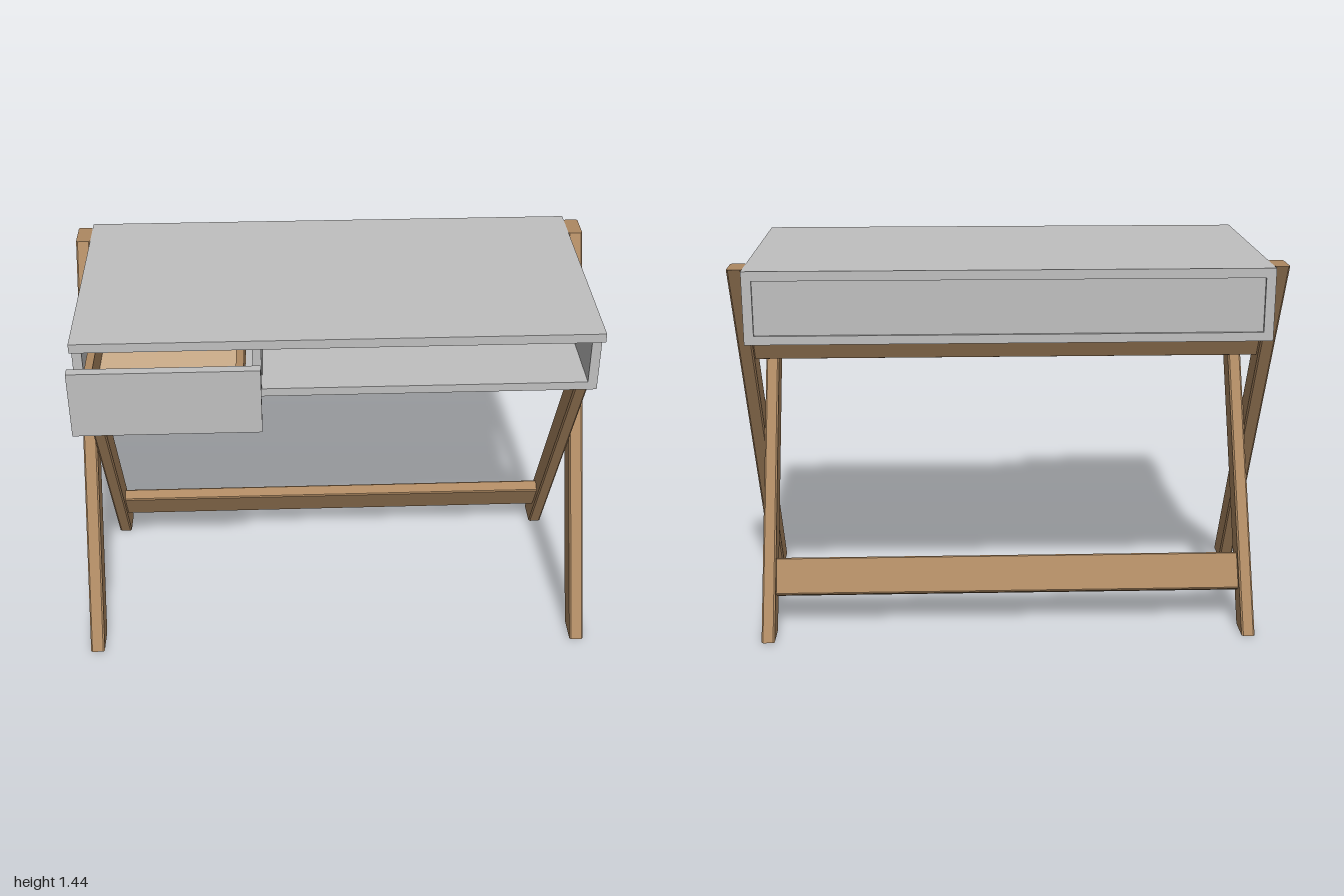
import * as THREE from 'three';

const greyPaint = new THREE.MeshStandardMaterial({ name: 'greyPaint', color: 0xc0c0c0 });
const wood = new THREE.MeshStandardMaterial({ name: 'wood', color: 0xae8962 });
const paleWood = new THREE.MeshStandardMaterial({ name: 'paleWood', color: 0xcfb08c });
const screwDark = new THREE.MeshStandardMaterial({ name: 'screwDark', color: 0x55504a });

const LEAN = 0.549; // z shift per unit of height
const ANGLE = Math.atan(LEAN);

// Box given by its minimum and maximum corners
function box(name, material, [x0, y0, z0], [x1, y1, z1]) {
  const mesh = new THREE.Mesh(new THREE.BoxGeometry(x1 - x0, y1 - y0, z1 - z0), material);
  mesh.position.set((x0 + x1) / 2, (y0 + y1) / 2, (z0 + z1) / 2);
  mesh.name = name;
  return mesh;
}

// Rectangle with chamfered corners, centred on the origin
function chamferedShape(w, h, c) {
  const a = w / 2, b = h / 2;
  return new THREE.Shape([
    [-a + c, -b], [a - c, -b], [a, -b + c], [a, b - c],
    [a - c, b], [-a + c, b], [-a, b - c], [-a, -b + c],
  ].map(([x, y]) => new THREE.Vector2(x, y)));
}

// Leg with level ends, sheared along z as it rises
function leg(name, x, width, z, height, slope) {
  const geo = new THREE.ExtrudeGeometry(chamferedShape(width, 0.12, 0.006), { depth: height, bevelEnabled: false });
  geo.rotateX(-Math.PI / 2);
  geo.applyMatrix4(new THREE.Matrix4().set(1, 0, 0, 0, 0, 1, 0, 0, 0, slope, 1, 0, 0, 0, 0, 1));
  geo.computeVertexNormals();
  const mesh = new THREE.Mesh(geo, wood);
  mesh.position.set(x, 0, z);
  mesh.name = name;
  return mesh;
}

// Crossbar running along x, tilted to match a leg
function bar(name, halfLength, y, z, tilt) {
  const geo = new THREE.ExtrudeGeometry(chamferedShape(0.05, 0.143, 0.005), { depth: halfLength * 2, bevelEnabled: false });
  geo.translate(0, 0, -halfLength);
  geo.rotateY(Math.PI / 2);
  const mesh = new THREE.Mesh(geo, wood);
  mesh.rotation.x = tilt;
  mesh.position.set(0, y, z);
  mesh.name = name;
  return mesh;
}

function createCase() {
  const g = new THREE.Group();
  g.name = 'deskCase';
  g.add(
    box('deskTop', greyPaint, [-0.945, 1.405, -0.533], [0.945, 1.44, 0.41]),
    box('caseBottom', greyPaint, [-0.945, 1.175, -0.533], [0.945, 1.207, 0.355]),
    box('divider', greyPaint, [-0.307, 1.207, -0.508], [-0.275, 1.405, 0.355]),
    box('backPanel', greyPaint, [-0.91, 1.207, -0.522], [0.91, 1.405, -0.508]),
  );
  for (const s of [-1, 1]) {
    const x = s * 0.9275;
    g.add(box(s > 0 ? 'leftSide' : 'rightSide', greyPaint,
      [x - 0.0175, 1.207, -0.533], [x + 0.0175, 1.405, 0.355]));
  }
  return g;
}

// Drawer, pulled partly open
function createDrawer() {
  const g = new THREE.Group();
  g.name = 'drawer';
  const x0 = -0.89, x1 = -0.335, y0 = 1.232, y1 = 1.367, z0 = -0.32, z1 = 0.5, t = 0.028;
  g.add(
    box('drawerFront', greyPaint, [-0.945, 1.14, z1], [-0.275, 1.395, 0.535]),
    box('drawerSideRight', wood, [x0, y0, z0], [x0 + t, y1, z1]),
    box('drawerSideLeft', wood, [x1 - t, y0, z0], [x1, y1, z1]),
    box('drawerInnerFront', wood, [x0 + t, y0, z1 - 0.035], [x1 - t, y1, z1]),
    box('drawerBack', wood, [x0 + t, y0, z0], [x1 - t, y1, z0 + t]),
    box('drawerFloor', paleWood, [x0 + t, y0 + 0.015, z0 + t], [x1 - t, y0 + 0.028, z1 - 0.035]),
  );
  return g;
}

export function createModel() {
  const model = new THREE.Group();
  model.name = 'desk';
  model.add(createCase(), createDrawer());

  // Crossed legs on each side, with screw heads
  for (const s of [-1, 1]) {
    const side = s > 0 ? 'left' : 'right';
    model.add(
      leg(side + 'OuterLeg', s * 0.9725, 0.055, 0.35, 1.44, -LEAN),
      leg(side + 'InnerLeg', s * 0.92, 0.05, -0.44, 1.175, LEAN),
    );
    for (const [y, z] of [[1.36, -0.39], [1.26, -0.337]]) {
      const screw = new THREE.Mesh(new THREE.CylinderGeometry(0.005, 0.005, 0.002, 12), screwDark);
      screw.rotation.z = Math.PI / 2;
      screw.position.set(s * 1.0, y, z);
      screw.name = side + 'Screw';
      model.add(screw);
    }
  }

  // Crossbars
  model.add(
    bar('upperCrossbar', 0.945, 1.125, 0.35 - LEAN * 1.125, -ANGLE),
    bar('lowerCrossbar', 0.895, 0.2, -0.44 + LEAN * 0.2, ANGLE),
  );
  return model;
}
